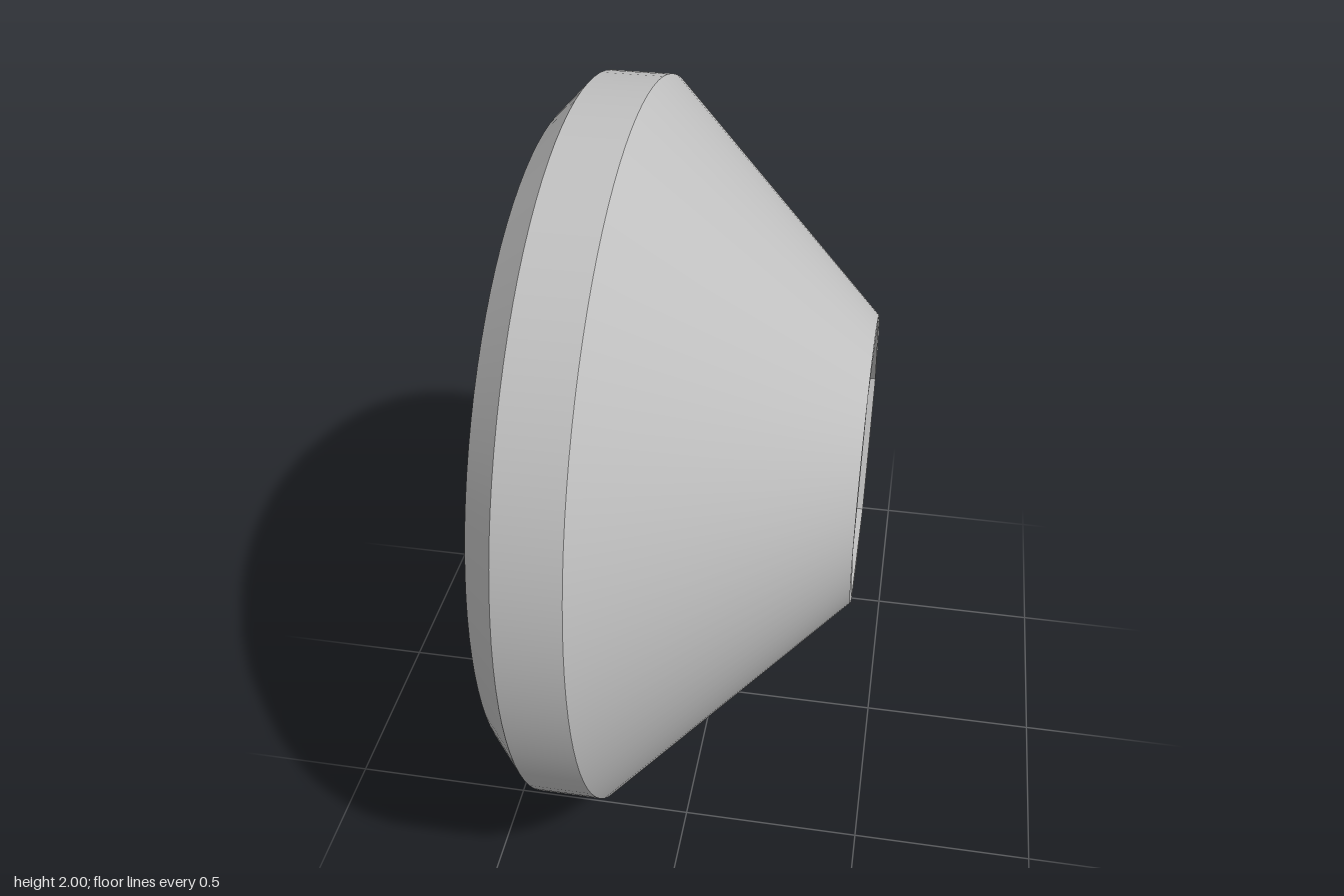
import * as THREE from 'three';

const SEGMENTS = 96;
const TIP_X = 0.425;
const TIP_RADIUS = 0.4;
const HEX_RADIUS = 0.398;
const SOCKET_DEPTH = 0.5;

export function createModel() {
  const group = new THREE.Group();
  group.name = 'conicalScrewHead';
  const steel = new THREE.MeshStandardMaterial({ color: 0xc0c0c0 });
  steel.name = 'grey steel';

  const add = (name, geometry) => {
    const mesh = new THREE.Mesh(geometry, steel);
    mesh.name = name;
    mesh.position.y = 1;
    group.add(mesh);
  };

  // Turned bands along x as [x, radius]; separate lathes keep the rims crisp
  const profile = [[-0.425, 0.91], [-0.34, 1], [-0.175, 1], [TIP_X, TIP_RADIUS]];
  ['backChamfer', 'rim', 'cone'].forEach((name, i) => {
    const points = [profile[i], profile[i + 1]].map(([x, r]) => new THREE.Vector2(r, x));
    add(name, new THREE.LatheGeometry(points, SEGMENTS).rotateZ(-Math.PI / 2));
  });

  // Flat back disc
  add('backFace', new THREE.CircleGeometry(0.91, SEGMENTS)
    .rotateY(-Math.PI / 2).translate(-0.425, 0, 0));

  // Tip ring and hexagonal socket walls, sunk into the cone
  const ring = new THREE.Shape().absarc(0, 0, TIP_RADIUS, 0, Math.PI * 2, false);
  const corners = [];
  for (let i = 0; i < 6; i++) {
    const a = -i * Math.PI / 3;
    corners.push(new THREE.Vector2(HEX_RADIUS * Math.cos(a), HEX_RADIUS * Math.sin(a)));
  }
  ring.holes.push(new THREE.Path(corners));
  add('hexSocket', new THREE.ExtrudeGeometry(ring, {
    depth: SOCKET_DEPTH, bevelEnabled: false, curveSegments: SEGMENTS / 2,
  }).rotateY(Math.PI / 2).translate(TIP_X - SOCKET_DEPTH, 0, 0));

  // Socket floor
  add('socketFloor', new THREE.CircleGeometry(HEX_RADIUS, 6)
    .rotateY(Math.PI / 2).translate(TIP_X - SOCKET_DEPTH, 0, 0));

  return group;
}
